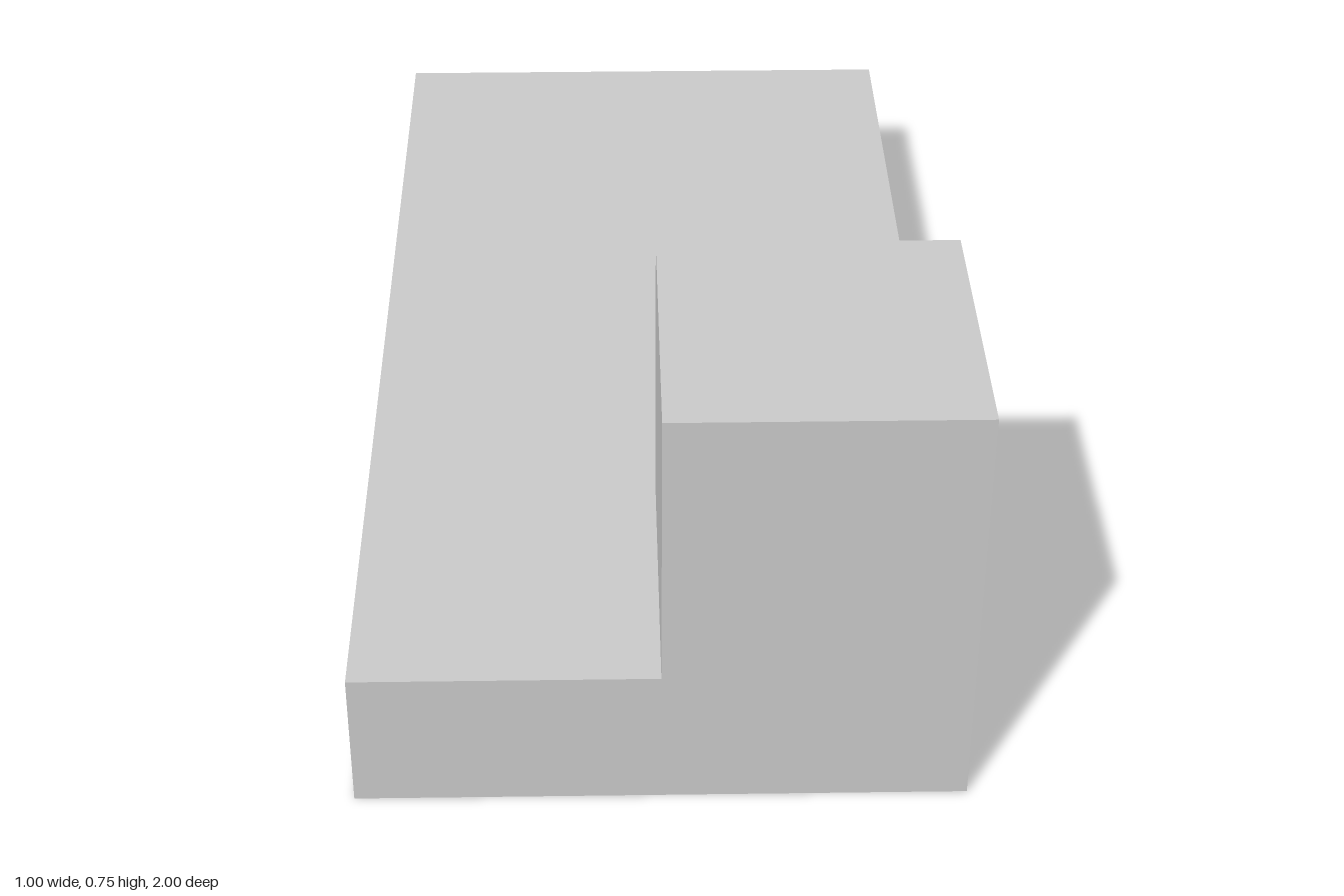
import * as THREE from 'three';

const W = 0.5, L = 1, DECK = 0.25, TOP = 0.75, BACK = 0.5; // half width, half length, heights, block's rear z

export function createModel() {
  const model = new THREE.Group();
  model.name = 'hollowSlabWithBlock';
  const material = new THREE.MeshStandardMaterial({ color: 0xcccccc, flatShading: true, side: THREE.DoubleSide });

  // A thin flat panel from a 2D outline, turned and moved into place
  function panel(name, outline, rotation, position) {
    const shape = new THREE.Shape(outline.map(([u, v]) => new THREE.Vector2(u, v)));
    const mesh = new THREE.Mesh(new THREE.ShapeGeometry(shape), material);
    mesh.name = name;
    mesh.rotation.set(...rotation);
    mesh.position.set(...position);
    model.add(mesh);
  }
  const rect = (u0, v0, u1, v1) => [[u0, v0], [u1, v0], [u1, v1], [u0, v1]];

  const toBack = [0, Math.PI, 0], toLeft = [0, Math.PI / 2, 0];
  const toRight = [0, -Math.PI / 2, 0], toTop = [-Math.PI / 2, 0, 0];

  // Outer walls; the front and left ones rise to form the block's outer faces
  panel('frontWall', [[-W, 0], [W, 0], [W, TOP], [0, TOP], [0, DECK], [-W, DECK]], [0, 0, 0], [0, 0, L]);
  panel('leftWall', [[-L, 0], [L, 0], [L, DECK], [-BACK, DECK], [-BACK, TOP], [-L, TOP]], toLeft, [W, 0, 0]);
  panel('backWall', rect(-W, 0, W, DECK), toBack, [0, 0, -L]);
  panel('rightWall', rect(-L, 0, L, DECK), toRight, [-W, 0, 0]);

  // Deck, cut out beneath the hollow block; the underside stays open
  panel('deck', [[-W, -L], [0, -L], [0, -BACK], [W, -BACK], [W, L], [-W, L]], toTop, [0, DECK, 0]);

  // Remaining faces of the block
  panel('blockTop', rect(0, -L, W, -BACK), toTop, [0, TOP, 0]);
  panel('blockBack', rect(-W, DECK, 0, TOP), toBack, [0, 0, BACK]);
  panel('blockRight', rect(BACK, DECK, L, TOP), toRight, [0, 0, 0]);

  return model;
}
